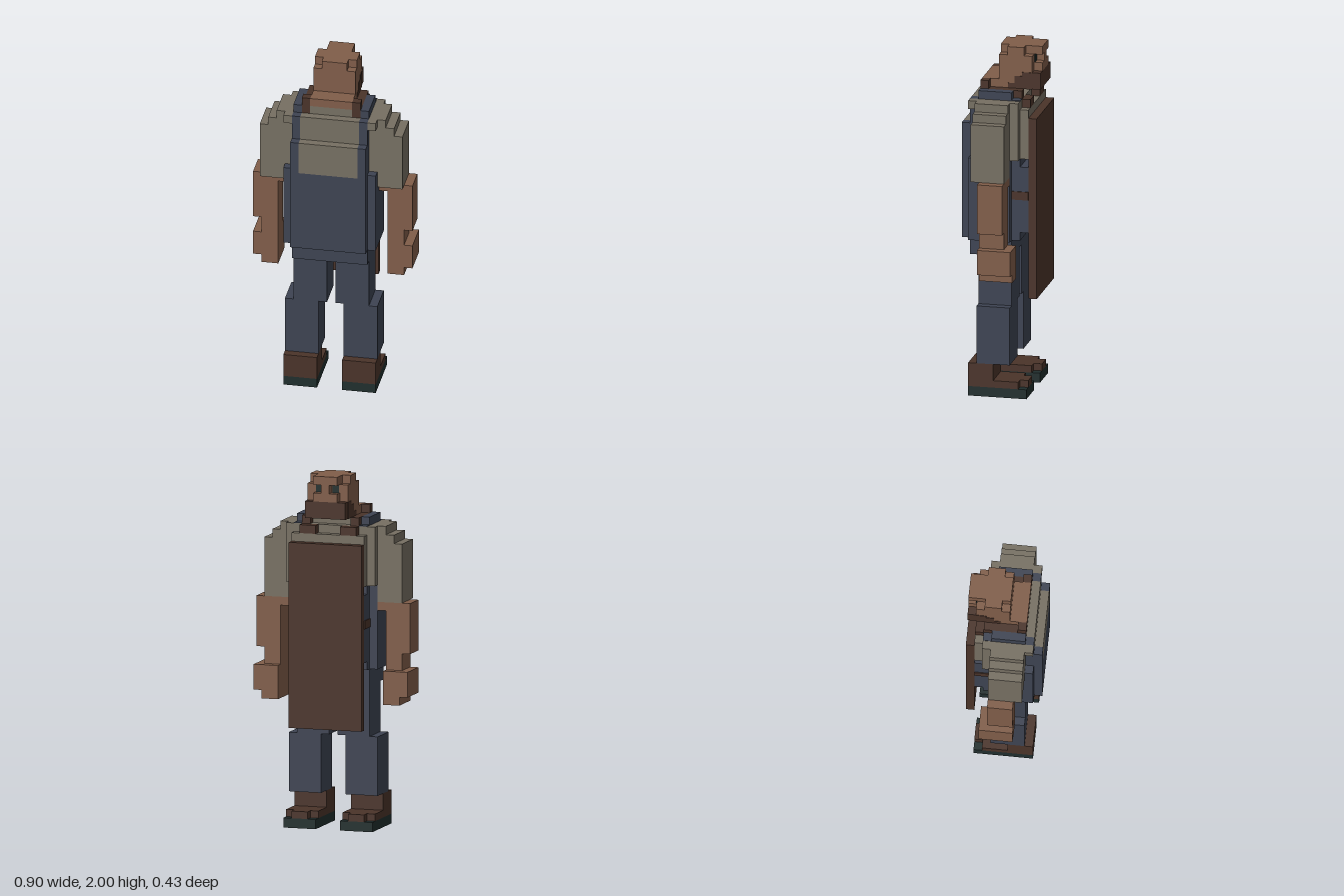
import * as THREE from 'three';

const V = 2 / 42; // edge of one block

const material = (name, color) => {
  const m = new THREE.MeshStandardMaterial({ color });
  m.name = name;
  return m;
};

export function createModel() {
  const skin = material('skin', 0x805d49);
  const shirt = material('shirt', 0x766f62);
  const denim = material('denim', 0x3d4352);
  const leather = material('leather', 0x4a3329);
  const rubber = material('rubber', 0x202e2d);

  const root = new THREE.Group();
  root.name = 'blockWorker';
  const group = (name) => {
    const g = new THREE.Group();
    g.name = name;
    root.add(g);
    return g;
  };

  // Box given by its limits in blocks
  const box = (parent, name, mat, [x0, x1], [y0, y1], [z0, z1]) => {
    const geo = new THREE.BoxGeometry((x1 - x0) * V, (y1 - y0) * V, (z1 - z0) * V);
    const mesh = new THREE.Mesh(geo, mat);
    mesh.name = name;
    mesh.position.set((x0 + x1) / 2 * V, (y0 + y1) / 2 * V, (z0 + z1) / 2 * V);
    parent.add(mesh);
  };
  // Box centred on x
  const mid = (p, name, mat, w, y, z) => box(p, name, mat, [-w, w], y, z);
  // Box on both sides
  const pair = (p, name, mat, [a, b], y, z) => {
    box(p, name + 'Left', mat, [a, b], y, z);
    box(p, name + 'Right', mat, [-b, -a], y, z);
  };

  // Head, looking towards -z
  const head = group('head');
  mid(head, 'skull', skin, 2.5, [37, 41], [-3.5, 0.5]);
  mid(head, 'crown', skin, 1.5, [41, 42], [-4.5, 0.5]);
  mid(head, 'crownSides', skin, 2.5, [41, 42], [-2.5, -0.5]);
  mid(head, 'nose', skin, 0.5, [39, 41], [-4.5, -3.5]);
  pair(head, 'cheek', skin, [0.5, 1.5], [39, 40], [-4.5, -3.5]);
  pair(head, 'eye', rubber, [0.6, 1.4], [40, 40.9], [-3.6, -3.5]);
  mid(head, 'beard', leather, 2.5, [37, 39], [-4.5, -3.5]);
  mid(head, 'beardUnderside', leather, 2.5, [36.95, 37], [-3.5, -1.5]);
  pair(head, 'beardSide', leather, [2.5, 2.55], [37, 39], [-3.5, -2.3]);
  pair(head, 'beardJaw', leather, [2.5, 2.55], [37, 38.5], [-2.3, -1.4]);
  pair(head, 'beardEnd', leather, [2.5, 2.55], [37, 37.6], [-1.4, -0.6]);
  mid(head, 'neck', skin, 2.5, [37, 38], [-1.5, 2.5]);

  // Shirt
  const top = group('shirt');
  mid(top, 'shirtCollar', shirt, 2.5, [36, 37], [-1.5, 2.5]);
  mid(top, 'shirtBody', shirt, 5.5, [29, 36], [-2.5, 2.5]);
  mid(top, 'shirtChest', shirt, 4.5, [29, 35], [-3.5, -2.5]);
  mid(top, 'shirtUpperBack', shirt, 3.5, [29, 36], [2.5, 3.5]);
  mid(top, 'shirtBackPanel', shirt, 3.5, [29, 33], [3.5, 4.5]);
  pair(top, 'shoulderBlade', shirt, [4.5, 5.5], [35, 36], [2.5, 3.5]);

  // Sleeves step down outwards
  [36, 35, 34].forEach((y, i) => {
    pair(top, 'sleeve' + i, shirt, [5.5 + i, 6.5 + i], [27, y], [-1.5, 2.5]);
  });

  // Arms and hands
  const arms = group('arms');
  pair(arms, 'elbow', skin, [5.5, 6.5], [26, 27], [-1.5, 1.5]);
  pair(arms, 'forearm', skin, [6.5, 9.5], [21, 27], [-1.5, 1.5]);
  pair(arms, 'wrist', skin, [6.5, 8.5], [19, 21], [-1.5, 1.5]);
  pair(arms, 'hand', skin, [6.5, 9.5], [16, 19], [-2.5, 1.5]);
  pair(arms, 'fingers', skin, [6.5, 8.5], [15, 16], [-2.5, 1.5]);

  // Overalls
  const overalls = group('overalls');
  mid(overalls, 'overallsSides', denim, 5.5, [19, 29], [-1.5, 3.5]);
  mid(overalls, 'overallsFront', denim, 4.5, [19, 29], [-2.5, -1.5]);
  mid(overalls, 'overallsBib', denim, 4.5, [20, 28], [-3.5, -2.5]);
  mid(overalls, 'overallsBack', denim, 4.5, [19, 29], [3.5, 4.5]);
  mid(overalls, 'seat', denim, 4.5, [17, 19], [-1.5, 3.5]);
  pair(overalls, 'backStrap', denim, [3.5, 4.5], [29, 33], [3.5, 4.5]);
  pair(overalls, 'upperBackStrap', denim, [3.5, 4.5], [29, 36], [2.5, 3.5]);
  pair(overalls, 'shoulderStrap', denim, [3.5, 4.5], [36, 37], [-1.5, 2.5]);
  pair(overalls, 'frontStrap', denim, [3.5, 4.5], [36, 36.1], [-2.5, -1.5]);
  pair(overalls, 'thigh', denim, [0.5, 4.5], [11, 17], [-1.5, 2.5]);
  pair(overalls, 'shin', denim, [1.5, 5.5], [4, 11], [-1.5, 2.5]);

  // Apron with neck loop and waist tie
  const apron = group('apron');
  mid(apron, 'apronPanel', leather, 4.5, [12, 34], [-4.5, -3.5]);
  pair(apron, 'neckLoopBack', leather, [2.5, 3.5], [36, 38], [1.5, 2.5]);
  pair(apron, 'neckLoopSide', leather, [2.5, 3.5], [36, 37], [-2.5, 1.5]);
  pair(apron, 'neckLoopFront', leather, [1.5, 3.5], [35, 36], [-3.5, -2.5]);
  pair(apron, 'waistTie', leather, [4.5, 4.6], [24, 25], [-3.5, -1.5]);

  // Shoes
  const shoes = group('shoes');
  pair(shoes, 'sole', rubber, [1.5, 5.5], [0, 1.15], [-3.5, 3.5]);
  pair(shoes, 'shoeHeel', leather, [1.5, 5.5], [1.15, 4], [0.5, 3.5]);
  pair(shoes, 'shoeMiddle', leather, [1.5, 5.5], [1.15, 2], [-2.5, 0.5]);
  pair(shoes, 'shoeToe', leather, [2.5, 4.5], [1.15, 2], [-3.5, -2.5]);

  return root;
}
